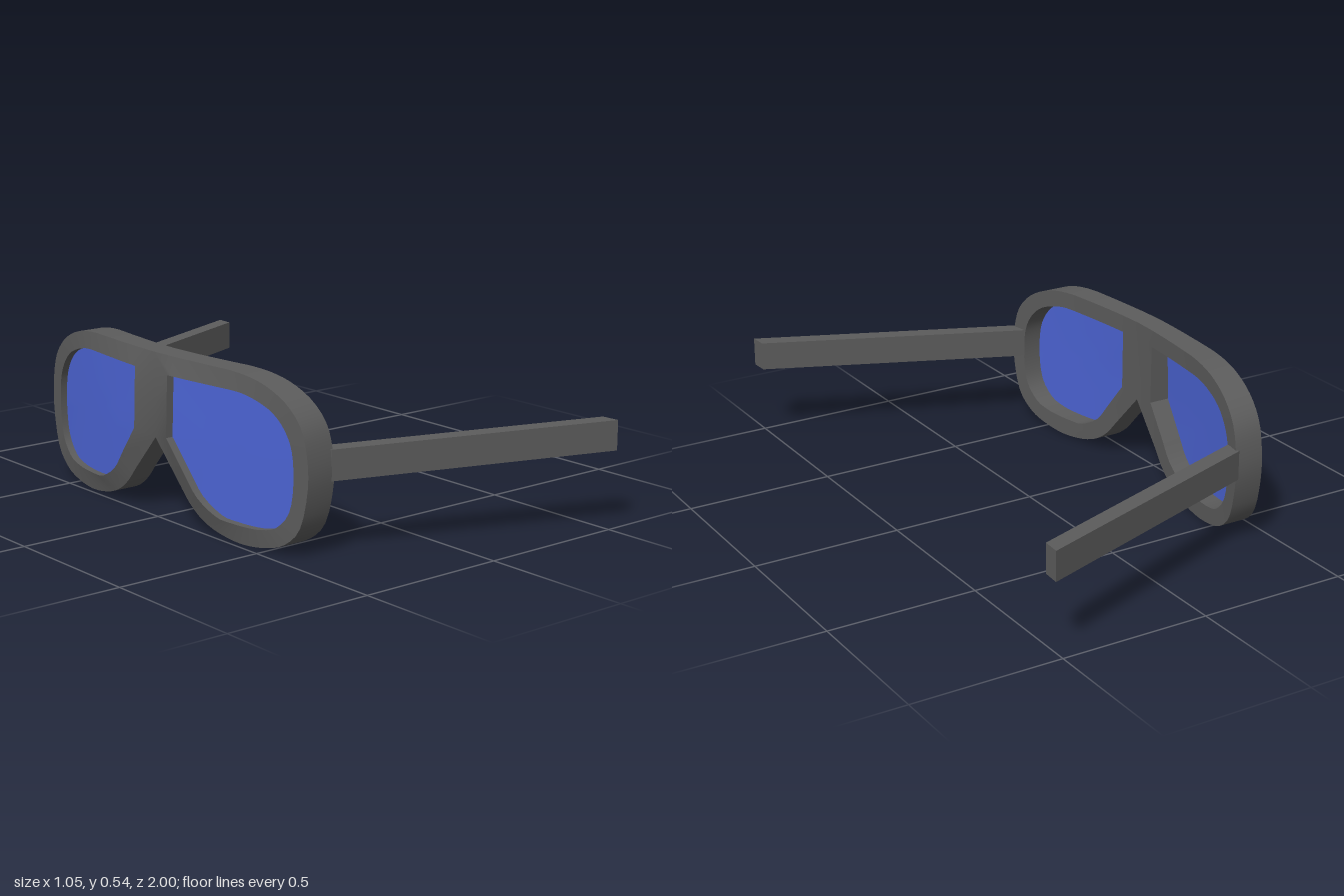
import * as THREE from 'three';
import { mergeGeometries, toCreasedNormals } from 'three/addons/utils/BufferGeometryUtils.js';

const frameGrey = new THREE.MeshStandardMaterial({ color: 0x5c5c5c });
frameGrey.name = 'frame grey';
const lensBlue = new THREE.MeshStandardMaterial({ color: 0x4c64d4 });
lensBlue.name = 'lens blue';

const v = ([a, b]) => new THREE.Vector2(a, b);
// Straight part of a loop followed by a smooth curve
const loop = (straight, curved) =>
  [...straight.map(v), ...new THREE.SplineCurve(curved.map(v)).getPoints(42)];

// Matching half outlines in (z, y): from the nose notch up the bridge, over the top and round
const outline = loop(
  [[0, 0.26], [0, 0.38], [0, 0.535], [0.09, 0.535], [0.17, 0.535], [0.26, 0.535]],
  [[0.343, 0.535], [0.42, 0.529], [0.5, 0.511], [0.58, 0.472], [0.64, 0.41], [0.666, 0.327],
    [0.67, 0.225], [0.64, 0.1], [0.578, 0.037], [0.5, 0.01], [0.4, 0], [0.3, 0.013],
    [0.225, 0.039], [0.166, 0.08], [0.12, 0.13]]);
const opening = loop(
  [[0.085, 0.278], [0.085, 0.38], [0.085, 0.477], [0.11, 0.477], [0.18, 0.477], [0.265, 0.477]],
  [[0.353, 0.477], [0.41, 0.474], [0.476, 0.459], [0.535, 0.433], [0.58, 0.39], [0.608, 0.33],
    [0.615, 0.235], [0.598, 0.14], [0.546, 0.083], [0.49, 0.066], [0.434, 0.061], [0.36, 0.062],
    [0.3, 0.07], [0.22, 0.114], [0.17, 0.173]]);
const lensCentre = v([0.35, 0.28]);

// Wrap-around curve of the frame, and the raised rim round the lenses
const wrap = (z) => Math.pow(z / 0.67, 1.5);
const outerFront = ({ x: z }) => -0.505 + 0.062 * wrap(z);
const outerBack = ({ x: z }) => -0.425 + 0.082 * wrap(z);
const rimFront = (p) => outerFront(p)
  - (0.028 - 0.04 * Math.max(0, p.y - 0.28)) * Math.max(0, 1 - p.x / 0.65);
const lensFront = (p) => rimFront(p) + 0.025;
const lensBack = (p) => rimFront(p) + 0.034;

// Point at depth rule(p) above the (z, y) point p
const at = (p, rule) => [rule(p), p.y, p.x];

// Joins closed cross-sections round a closed loop; side -1 mirrors it in z
function loft(sections, side) {
  const rows = side > 0 ? sections : [...sections].reverse();
  const n = rows[0].length;
  const position = rows.flat().flatMap(([x, y, z]) => [x, y, z * side]);
  const index = [];
  rows.forEach((_, i) => {
    const a = i * n, b = ((i + 1) % rows.length) * n;
    for (let j = 0; j < n; j++) {
      const k = (j + 1) % n;
      index.push(a + j, a + k, b + k, a + j, b + k, b + j);
    }
  });
  const geo = new THREE.BufferGeometry();
  geo.setAttribute('position', new THREE.Float32BufferAttribute(position, 3));
  geo.setIndex(index);
  return geo;
}

export function createModel() {
  const model = new THREE.Group();
  model.name = 'glasses';
  const add = (name, geo, mat) => {
    const mesh = new THREE.Mesh(geo, mat);
    mesh.name = name;
    model.add(mesh);
  };

  // Frame: two mirrored rings meeting at the bridge
  const frameSections = outline.map((o, i) => [
    at(o, outerFront), at(opening[i], rimFront), at(opening[i], outerBack), at(o, outerBack),
  ]);
  const halves = [1, -1].map((side) => loft(frameSections, side));
  add('frame', toCreasedNormals(mergeGeometries(halves), 0.6), frameGrey);

  // Lenses: thin curved plates set back from the rim
  const lensSections = opening.map((edge) => {
    const mid = edge.clone().lerp(lensCentre, 0.5);
    return [
      at(edge, lensFront), at(mid, lensFront), at(lensCentre, lensFront),
      at(lensCentre, lensBack), at(mid, lensBack), at(edge, lensBack),
    ];
  });
  for (const side of [1, -1]) {
    const name = side > 0 ? 'left' : 'right';
    add(`${name}Lens`, toCreasedNormals(loft(lensSections, side), 0.6), lensBlue);

    // Temples, splaying outward and rising slightly towards their ends
    const geo = new THREE.BoxGeometry(0.875, 0.097, 0.06);
    const p = geo.attributes.position;
    for (let i = 0; i < p.count; i++) {
      const t = p.getX(i) / 0.875 + 0.5;
      p.setXYZ(i, -0.352 + t * 0.875 + (t > 0.5 ? p.getZ(i) * side * 0.06 : 0),
        p.getY(i) + 0.284 + 0.0145 * t, p.getZ(i) + side * (0.642 + 0.328 * t));
    }
    geo.computeVertexNormals();
    add(`${name}Temple`, geo, frameGrey);
  }
  return model;
}
